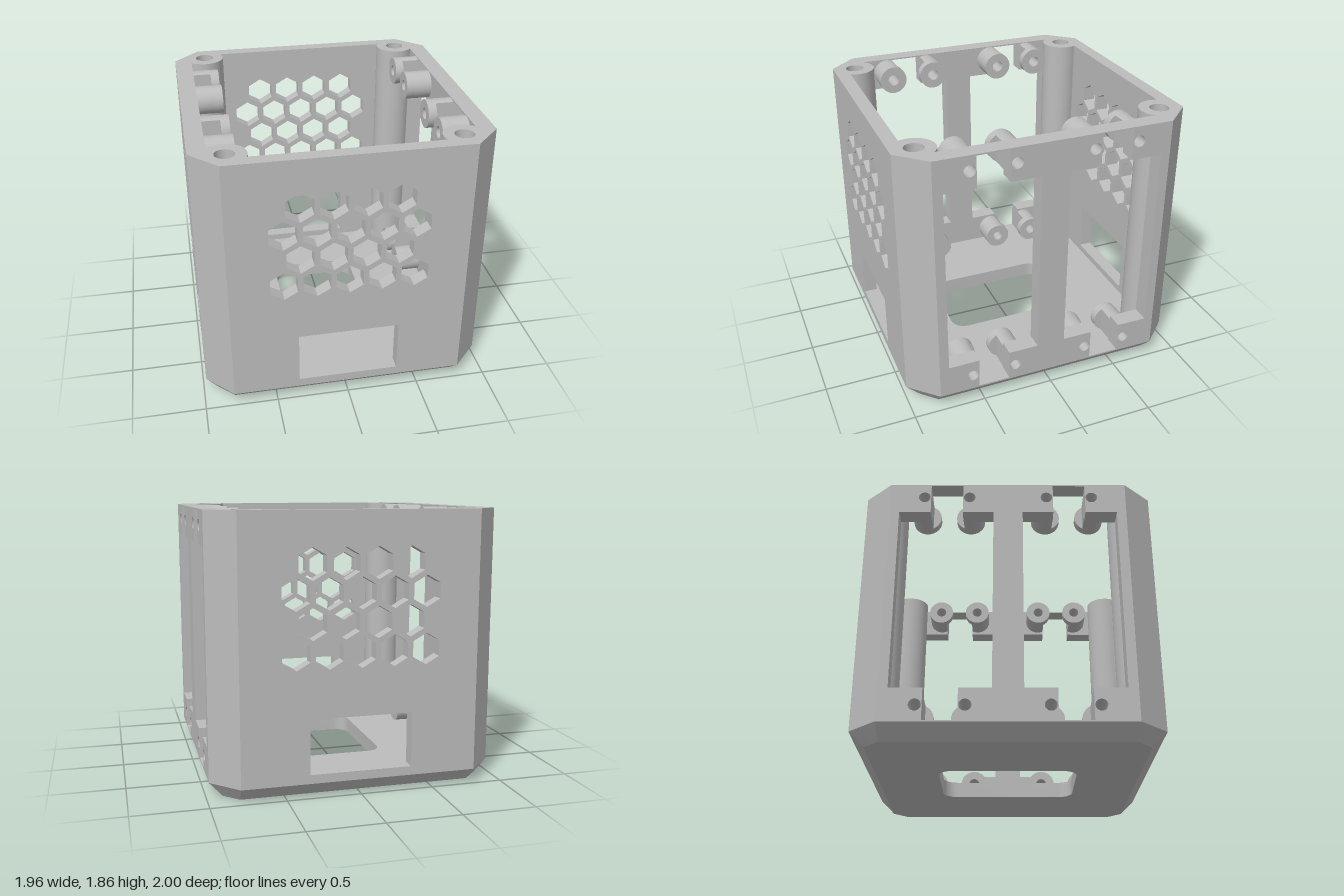
import * as THREE from 'three';
import { toCreasedNormals } from 'three/addons/utils/BufferGeometryUtils.js';

const plastic = new THREE.MeshStandardMaterial({ color: 0xbcbcbc });
plastic.name = 'grey plastic';

const V = (x, y) => new THREE.Vector2(x, y);
const poly = (pts) => pts.map(([x, y]) => V(x, y));

// Points along an arc
function arc(cx, cy, r, a0, a1, n) {
  return Array.from({ length: n + 1 }, (_, i) => {
    const a = a0 + ((a1 - a0) * i) / n;
    return V(cx + r * Math.cos(a), cy + r * Math.sin(a));
  });
}
const circle = (cx, cy, r, n = 40) => arc(cx, cy, r, 0, Math.PI * 2, n).slice(0, n);

function solid(outline, holes, depth) {
  const shape = new THREE.Shape(outline);
  shape.holes = holes.map((h) => new THREE.Path(h));
  return new THREE.ExtrudeGeometry(shape, { depth, bevelEnabled: false });
}

function part(name, geometry) {
  const mesh = new THREE.Mesh(toCreasedNormals(geometry, 0.5), plastic);
  mesh.name = name;
  return mesh;
}

const TOP = 1.86, BEVEL = 0.1, FLOOR = 0.11;
const W = 0.98, D = 1.0, CX = 0.8, CZ = 0.81; // outer half sizes and corner cuts
const IX = 0.86, IZ = 0.905; // cavity half sizes
const PX = 0.755, PZ = 0.845, PR = 0.14; // corner posts
const JX = 0.6285, JZ = 0.752; // where posts meet the walls

// Rounded window in the floor
function floorWindow() {
  const x = 0.215, z = 0.37, r = 0.1, q = Math.PI / 2;
  return [
    ...arc(x, z, r, 0, q, 8), ...arc(-x, z, r, q, 2 * q, 8),
    ...arc(-x, -z, r, 2 * q, 3 * q, 8), ...arc(x, -z, r, 3 * q, 4 * q, 8),
  ];
}

// Octagonal base, its lower outline drawn in to form the bevel
function makeBase() {
  const group = new THREE.Group();
  group.name = 'base';
  const outline = poly([
    [W, -CZ], [W, CZ], [CX, D], [-CX, D], [-W, CZ], [-W, -CZ], [-CX, -D], [CX, -D],
  ]);
  const g = solid(outline, [floorWindow()], BEVEL);
  g.rotateX(-Math.PI / 2);
  const p = g.attributes.position;
  for (let i = 0; i < p.count; i++) {
    const x = p.getX(i), z = p.getZ(i);
    if (p.getY(i) > 0.05 || Math.abs(x) < 0.5) continue;
    p.setX(i, Math.sign(x) * (Math.abs(x) > 0.9 ? 0.89 : 0.79));
    p.setZ(i, Math.sign(z) * (Math.abs(z) > 0.9 ? 0.9 : 0.8));
  }
  g.computeVertexNormals();
  group.add(part('bevelledBase', g));

  const plate = solid(poly([[IX, -IZ], [IX, IZ], [-IX, IZ], [-IX, -IZ]]), [floorWindow()], FLOOR - BEVEL);
  plate.rotateX(-Math.PI / 2).translate(0, BEVEL, 0);
  group.add(part('floor', plate));
  return group;
}

// Wall with honeycomb vent and rectangular port
function makeVentWall(name) {
  const holes = [poly([[-0.345, 0.16], [0.345, 0.16], [0.345, 0.53], [-0.345, 0.53]])];
  for (let row = 0; row < 4; row++) {
    const n = row % 2 ? 5 : 4;
    for (let i = 0; i < n; i++) {
      const x = (i - (n - 1) / 2) * 0.218, y = 1.525 - row * 0.19;
      holes.push(arc(x, y, 0.105, Math.PI / 6, Math.PI / 6 + (Math.PI * 5) / 3, 5));
    }
  }
  const g = solid(poly([[-JX, BEVEL], [JX, BEVEL], [JX, TOP], [-JX, TOP]]), holes, D - IZ);
  g.translate(0, 0, IZ);
  return part(name, g);
}

// Corner column with a stepped screw hole, stacked from three layers
function makeCorner(sx, sz) {
  const group = new THREE.Group();
  group.name = 'cornerPost';
  const a0 = Math.atan2(JZ - PZ, IX - PX);
  const a1 = Math.atan2(IZ - PZ, JX - PX) - Math.PI * 2;
  const outline = [
    ...poly([[JX, D], [CX, D], [W, CZ], [W, JZ]]),
    ...arc(PX, PZ, PR, a0, a1, 28),
  ].map((v) => V(v.x * sx, v.y * sz));
  const layers = [[BEVEL, 1.36, 0], [1.36, 1.7, 0.05], [1.7, TOP, 0.065]];
  for (const [y0, y1, r] of layers) {
    const g = solid(outline, r ? [circle(PX * sx, PZ * sz, r)] : [], y1 - y0);
    g.rotateX(-Math.PI / 2).translate(0, y0, 0);
    group.add(part('postSection', g));
  }
  return group;
}

// Side wall with two notched openings and eight screw lugs
function makeSide(name) {
  const group = new THREE.Group();
  group.name = name;
  const PIN_Y = [0.21, 1.755], PIN_Z = [0.265, 0.575], R = 0.1, HOLE = 0.04;
  const opening = [
    [0.1, 0.325], [0.31, 0.325], [0.31, 0.11], [0.53, 0.11], [0.53, 0.325], [0.745, 0.325],
    [0.745, 1.633], [0.53, 1.633], [0.53, 1.85], [0.31, 1.85], [0.31, 1.633], [0.1, 1.633],
  ];
  const holes = [];
  for (const s of [1, -1]) {
    holes.push(poly(opening.map(([z, y]) => [z * s, y])));
    for (const y of PIN_Y) for (const z of PIN_Z) holes.push(circle(z * s, y, HOLE, 28));
  }
  const wall = solid(poly([[-JZ, BEVEL], [JZ, BEVEL], [JZ, TOP], [-JZ, TOP]]), holes, W - IX);
  wall.rotateY(Math.PI / 2).translate(IX, 0, 0);
  group.add(part('sideWall', wall));

  // Each lug is a cut-off stem with a full round disc on its inner end
  const cut = Math.acos(0.45);
  for (const s of [1, -1]) for (const y of PIN_Y) PIN_Z.forEach((pz, i) => {
    const u = pz * s;
    const turn = (i === 0 ? s : -s) > 0 ? 0 : Math.PI;
    const stem = solid(
      arc(u, y, R, turn + cut, turn + Math.PI * 2 - cut, 32), [circle(u, y, HOLE, 28)], IX - 0.735);
    stem.rotateY(Math.PI / 2).translate(0.735, 0, 0);
    const disc = solid(circle(u, y, R), [circle(u, y, HOLE, 28)], 0.06);
    disc.rotateY(Math.PI / 2).translate(0.675, 0, 0);
    group.add(part('lugStem', stem), part('lugDisc', disc));
  });
  return group;
}

export function createModel() {
  const model = new THREE.Group();
  model.name = 'ventilatedEnclosure';
  const back = makeVentWall('backWall');
  back.rotation.y = Math.PI;
  const right = makeSide('rightSide');
  right.rotation.y = Math.PI;
  model.add(makeBase(), makeVentWall('frontWall'), back, makeSide('leftSide'), right);
  for (const sx of [1, -1]) for (const sz of [1, -1]) model.add(makeCorner(sx, sz));
  return model;
}
